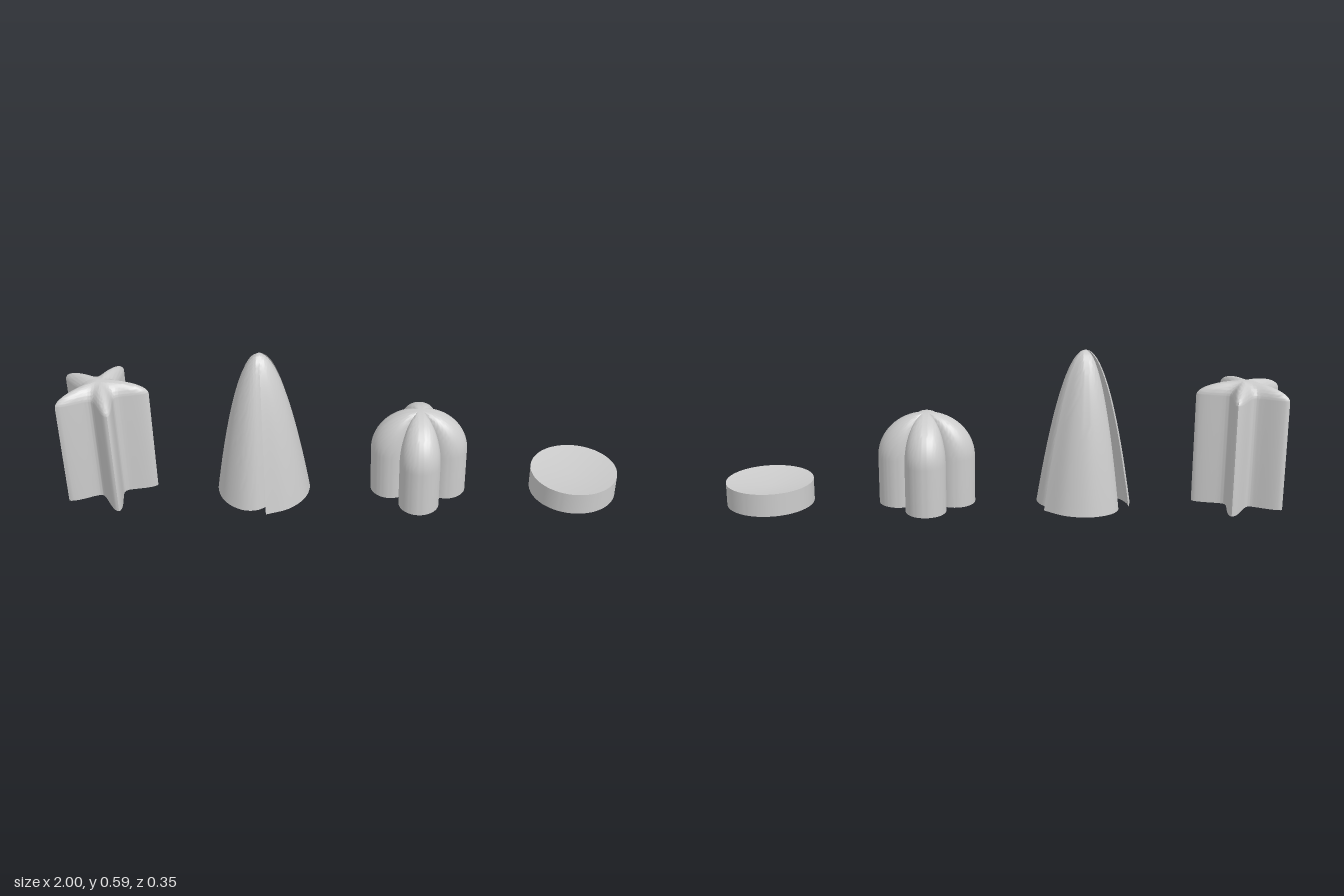
import * as THREE from 'three';
import { toCreasedNormals } from 'three/addons/utils/BufferGeometryUtils.js';

const BASE = 0.025;
const rad = THREE.MathUtils.degToRad;
const material = new THREE.MeshStandardMaterial({ color: 0xcccccc, side: THREE.DoubleSide });

// Sweep a closed outline [x, z] up a profile of [scale, y] steps
function loft(outline, profile, crease) {
  const pos = [];
  const n = outline.length;
  const point = (i, j) => {
    const [x, z] = outline[i % n];
    const [s, y] = profile[j];
    return [x * s, y, z * s];
  };
  for (let j = 0; j < profile.length - 1; j++) {
    for (let i = 0; i < n; i++) {
      const a = point(i, j), b = point(i + 1, j), c = point(i + 1, j + 1), d = point(i, j + 1);
      if (profile[j][0] > 0) pos.push(...a, ...b, ...c);
      if (profile[j + 1][0] > 0) pos.push(...a, ...c, ...d);
    }
  }
  const geometry = new THREE.BufferGeometry();
  geometry.setAttribute('position', new THREE.Float32BufferAttribute(pos, 3));
  return toCreasedNormals(geometry, crease);
}

// Outline from a radius rule over the angle
function polarOutline(radius, count) {
  return Array.from({ length: count }, (_, i) => {
    const a = (i / count) * Math.PI * 2;
    return [radius(a) * Math.cos(a), -radius(a) * Math.sin(a)];
  });
}

// Flat floor, straight wall, elliptical dome
function domeProfile(shoulder, top, steps = 20) {
  const profile = [[0, BASE], [1, BASE]];
  for (let k = 0; k <= steps; k++) {
    const t = (k / steps) * Math.PI / 2;
    profile.push([k === steps ? 0 : Math.cos(t), shoulder + (top - shoulder) * Math.sin(t)]);
  }
  return profile;
}

// Five-pointed star with rounded tips, one tip towards +x
function starRadius(a) {
  const t = (a + Math.PI) * 5 / 4;
  const sum = Math.abs(Math.cos(t)) ** 7 + Math.abs(Math.sin(t)) ** 7;
  return 0.172 / 2.378 / Math.sqrt(sum);
}

// Four overlapping round lobes
function cloverRadius(a) {
  const q = Math.PI / 2;
  const d = a - Math.round(a / q) * q;
  return 0.101 * Math.cos(d) + Math.sqrt(0.073 ** 2 - (0.101 * Math.sin(d)) ** 2);
}

// Three blades, each curling in beneath the sharp edge of the next
function pinwheelOutline() {
  const blade = [[0, 0.177], [30, 0.171], [60, 0.17], [88, 0.167], [106, 0.155], [120, 0.132],
    [140, 0.095], [160, 0.075], [172, 0.085], [168, 0.105], [150, 0.135], [132, 0.162], [120, 0.177]];
  const outline = [];
  for (let k = 0; k < 3; k++) {
    const points = blade.map(([deg, r]) => {
      const a = rad(deg + 35 + k * 120);
      return new THREE.Vector3(r * Math.cos(a), 0, -r * Math.sin(a));
    });
    const curve = new THREE.CatmullRomCurve3(points);
    outline.push(...curve.getPoints(72).slice(0, -1).map((p) => [p.x, p.z]));
  }
  return outline;
}

// Open-bottomed paraboloid
function paraboloidProfile(top, steps = 32) {
  return Array.from({ length: steps + 1 }, (_, k) => {
    const s = 1 - k / steps;
    return [s, top - (top - BASE) * s * s];
  });
}

export function createModel() {
  const group = new THREE.Group();
  const add = (name, geometry, x) => {
    const mesh = new THREE.Mesh(geometry, material);
    mesh.name = name;
    mesh.position.x = x;
    group.add(mesh);
  };

  add('starPillar', loft(polarOutline(starRadius, 160), domeProfile(0.425, 0.478), 0.7), -0.862);
  add('pinwheelParaboloid', loft(pinwheelOutline(), paraboloidProfile(0.59), 0.7), -0.294);
  add('cloverDome', loft(polarOutline(cloverRadius, 160), domeProfile(0.2, 0.363), 0.7), 0.272);

  // Round disc with a conical underside and a matching dished top
  const discProfile = [[0, 0], [1, BASE], [1, 0.108], [0, 0.083]];
  add('conicalDisc', loft(polarOutline(() => 0.157, 96), discProfile, 0.7), 0.842);

  return group;
}
